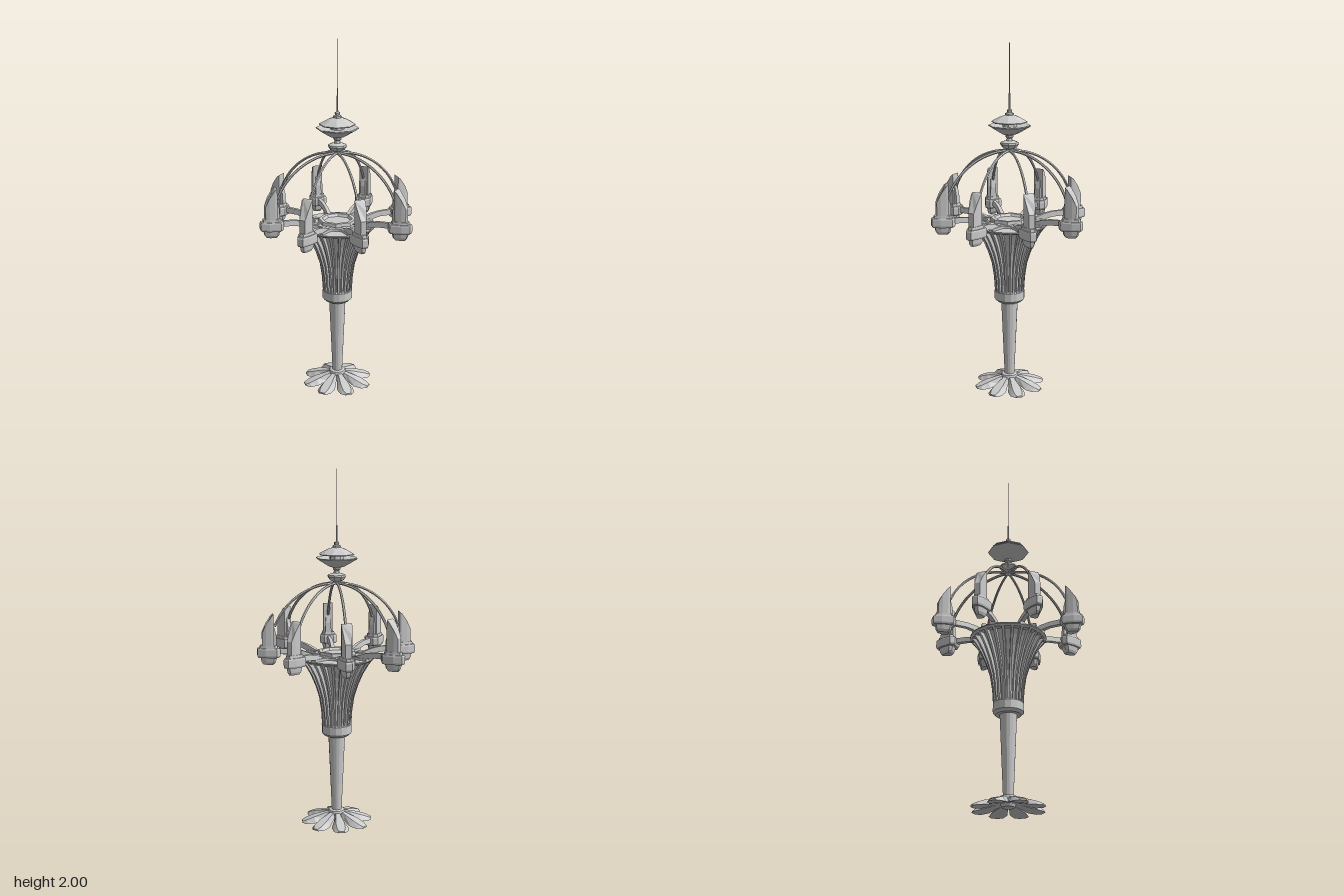
import * as THREE from 'three';

const mat = new THREE.MeshStandardMaterial({ color: 0xcccccc, flatShading: true, side: THREE.DoubleSide });

function add(parent, geometry, name) {
  const mesh = new THREE.Mesh(geometry, mat);
  mesh.name = name;
  parent.add(mesh);
  return mesh;
}

// Skin a stack of matching convex rings and cap both ends
function loft(rings) {
  const pos = [];
  const tri = (...pts) => pts.forEach((p) => pos.push(...p));
  const n = rings[0].length;
  for (let i = 0; i < rings.length - 1; i++) {
    for (let j = 0; j < n; j++) {
      const k = (j + 1) % n;
      const [a, b, c, d] = [rings[i][j], rings[i][k], rings[i + 1][k], rings[i + 1][j]];
      tri(a, b, c);
      tri(a, c, d);
    }
  }
  const first = rings[0], last = rings[rings.length - 1];
  for (let j = 1; j < n - 1; j++) {
    tri(first[0], first[j + 1], first[j]);
    tri(last[0], last[j], last[j + 1]);
  }
  const g = new THREE.BufferGeometry();
  g.setAttribute('position', new THREE.Float32BufferAttribute(pos, 3));
  g.computeVertexNormals();
  return g;
}

// Horizontal ring from [radius, halfWidth] pairs running inner to outer
function ring(half, height) {
  const y = typeof height === 'function' ? height : () => height;
  return [
    ...half.map(([r, w]) => [r, y(r), w]),
    ...half.slice().reverse().map(([r, w]) => [r, y(r), -w]),
  ];
}

// Bar along +x from rows of [r, bottom, top, bottomHalfWidth, topHalfWidth]
const bar = (rows) => loft(rows.map(([r, b, t, wb, wt]) => [[r, b, -wb], [r, t, -wt], [r, t, wt], [r, b, wb]]));

const turned = (profile, sides) => new THREE.LatheGeometry(
  profile.map(([r, y]) => new THREE.Vector2(r, y)), sides).rotateY(Math.PI / sides);

// Repeat a part built along +x around the vertical axis
function radial(parent, geometry, name, count, offset = 0) {
  for (let i = 0; i < count; i++) {
    add(parent, geometry, name).rotation.y = offset + (i * 2 * Math.PI) / count;
  }
}

// Flat star plate whose points run out under the arms
function starGeometry() {
  const shape = new THREE.Shape();
  const at = (a, r, w) => [r * Math.cos(a) - w * Math.sin(a), r * Math.sin(a) + w * Math.cos(a)];
  for (let i = 0; i < 8; i++) {
    const a = (i * Math.PI) / 4;
    if (i === 0) shape.moveTo(...at(a, 0.21, -0.013));
    else shape.lineTo(...at(a, 0.21, -0.013));
    shape.lineTo(...at(a, 0.21, 0.013));
    shape.lineTo(...at(a, 0.165, 0.018));
    shape.quadraticCurveTo(...at(a, 0.128, 0.022), ...at(a + Math.PI / 8, 0.125, -0.015));
    const b = a + Math.PI / 4;
    shape.lineTo(...at(a + Math.PI / 8, 0.125, 0.015));
    shape.quadraticCurveTo(...at(b, 0.128, -0.022), ...at(b, 0.165, -0.018));
  }
  return new THREE.ExtrudeGeometry(shape, { depth: 0.017, bevelEnabled: false, curveSegments: 5 })
    .rotateX(-Math.PI / 2).translate(0, 0.968, 0);
}

export function createModel() {
  const model = new THREE.Group();
  model.name = 'lampPost';

  // Foot: spreading petals around a ring
  const petal = bar([
    [0.025, 0.03, 0.062, 0.018, 0.012],
    [0.07, 0.02, 0.052, 0.026, 0.014],
    [0.13, 0.005, 0.036, 0.047, 0.024],
    [0.175, 0, 0.02, 0.042, 0.024],
    [0.2, 0, 0.009, 0.02, 0.014],
  ]);
  radial(model, petal, 'footPetal', 8);
  add(model, turned([[0, 0.01], [0.035, 0.01], [0.05, 0.05], [0.045, 0.068], [0.03, 0.072], [0, 0.072]], 16), 'footRing');

  // Column and collar
  add(model, turned([[0, 0.06], [0.028, 0.06], [0.048, 0.53], [0, 0.53]], 16), 'column');
  add(model, turned([[0, 0.515], [0.07, 0.515], [0.085, 0.53], [0.085, 0.578], [0.078, 0.587], [0, 0.587]], 16), 'collar');

  // Flared capital: inner funnel with fins
  const flare = [[0.083, 0.58], [0.088, 0.66], [0.1, 0.74], [0.122, 0.81], [0.15, 0.875], [0.182, 0.93], [0.206, 0.96]];
  add(model, turned(flare.map(([r, y]) => [r * 0.86, y]), 16), 'funnel');
  const fin = loft(flare.map(([r, y]) => ring([[r * 0.8, 0.006], [r, 0.004 + r * 0.02]], y)).map((q) => q.reverse()));
  radial(model, fin, 'funnelFin', 24);

  // Deck with star plate and hub
  add(model, turned([[0, 0.955], [0.2, 0.955], [0.212, 0.965], [0.212, 0.971], [0, 0.971]], 48), 'deck');
  add(model, starGeometry(), 'starPlate');
  add(model, turned([[0.07, 0.97], [0.11, 0.98], [0.105, 1.004], [0.085, 1.004], [0.075, 0.99], [0, 0.99]], 8), 'hub');

  // Arms
  const arm = bar([
    [0.09, 0.965, 0.988, 0.015, 0.012],
    [0.14, 0.967, 0.99, 0.014, 0.011],
    [0.2, 0.98, 1.012, 0.013, 0.01],
    [0.25, 0.992, 1.022, 0.012, 0.009],
    [0.335, 0.995, 1.026, 0.012, 0.009],
  ]);
  radial(model, arm, 'arm', 8);

  // Lamp pods: stacked kite-shaped tiers and a slanted lantern
  const kite = [[0.317, 0.027], [0.338, 0.049], [0.4, 0.036], [0.443, 0.016]];
  const tier = (s, y) => ring(kite.map(([r, w]) => [0.382 + (r - 0.382) * s, w * s]), y).map((p) => p);
  const pod = loft([
    tier(0.45, 0.937), tier(0.62, 0.952), tier(0.7, 0.978), tier(0.92, 0.978), tier(1, 0.988),
    tier(1, 1.022), tier(0.94, 1.03), tier(0.78, 1.03), tier(0.74, 1.045),
  ]);
  radial(model, pod, 'lampPod', 8);
  const foot = [[0.352, 0.028], [0.365, 0.029], [0.395, 0.024], [0.416, 0.016]];
  const slope = (r) => 1.217 - 0.6 * (r - 0.352) - 15 * (r - 0.352) ** 2;
  radial(model, loft([ring(foot, 1.035), ring(foot, slope)]), 'lantern', 8);
  const bracket = loft([
    ring([[0.336, 0.018], [0.356, 0.018]], 1.03),
    ring([[0.338, 0.016], [0.356, 0.016]], 1.1),
    ring([[0.35, 0.012], [0.356, 0.012]], 1.15),
  ]);
  radial(model, bracket, 'lanternBracket', 8);

  // Dome ribs from the lanterns up to the finial
  const points = [];
  for (let i = 0; i <= 8; i++) {
    const a = THREE.MathUtils.lerp(0.38, 1.53, i / 8);
    points.push(new THREE.Vector3(0.372 * Math.cos(a), 1.01 + 0.372 * Math.sin(a), 0));
  }
  const rib = new THREE.TubeGeometry(new THREE.CatmullRomCurve3(points), 18, 0.0075, 6);
  radial(model, rib, 'domeRib', 8);

  // Finial: small collar, saucer and canopy
  add(model, turned([
    [0, 1.372], [0.02, 1.375], [0.022, 1.392], [0.04, 1.4], [0.052, 1.418], [0.05, 1.428], [0.02, 1.438],
    [0.014, 1.45], [0.022, 1.458], [0.022, 1.468], [0.045, 1.475], [0.075, 1.492], [0.118, 1.518],
    [0.116, 1.523], [0.04, 1.515], [0.038, 1.54],
  ], 8), 'finialSaucer');
  add(model, turned([
    [0.03, 1.54], [0.098, 1.538], [0.099, 1.543], [0.055, 1.567], [0.024, 1.578], [0.024, 1.587],
    [0.014, 1.592], [0.014, 1.606], [0.006, 1.61], [0, 1.612],
  ], 8), 'finialCanopy');

  // Antenna mast
  add(model, turned([[0, 1.6], [0.0055, 1.6], [0.005, 1.695], [0.0025, 1.7], [0.002, 1.9], [0.001, 2], [0, 2]], 6), 'antenna');

  // Pods and lanterns list corners clockwise seen from above; flip so faces point outward
  const flipped = new Set();
  model.traverse((o) => {
    if (!['lampPod', 'lantern', 'lanternBracket'].includes(o.name) || flipped.has(o.geometry)) return;
    const p = o.geometry.attributes.position;
    const a = new THREE.Vector3(), b = new THREE.Vector3();
    for (let i = 0; i < p.count; i += 3) {
      a.fromBufferAttribute(p, i + 1);
      b.fromBufferAttribute(p, i + 2);
      p.setXYZ(i + 1, b.x, b.y, b.z);
      p.setXYZ(i + 2, a.x, a.y, a.z);
    }
    o.geometry.computeVertexNormals();
    flipped.add(o.geometry);
  });
  return model;
}
